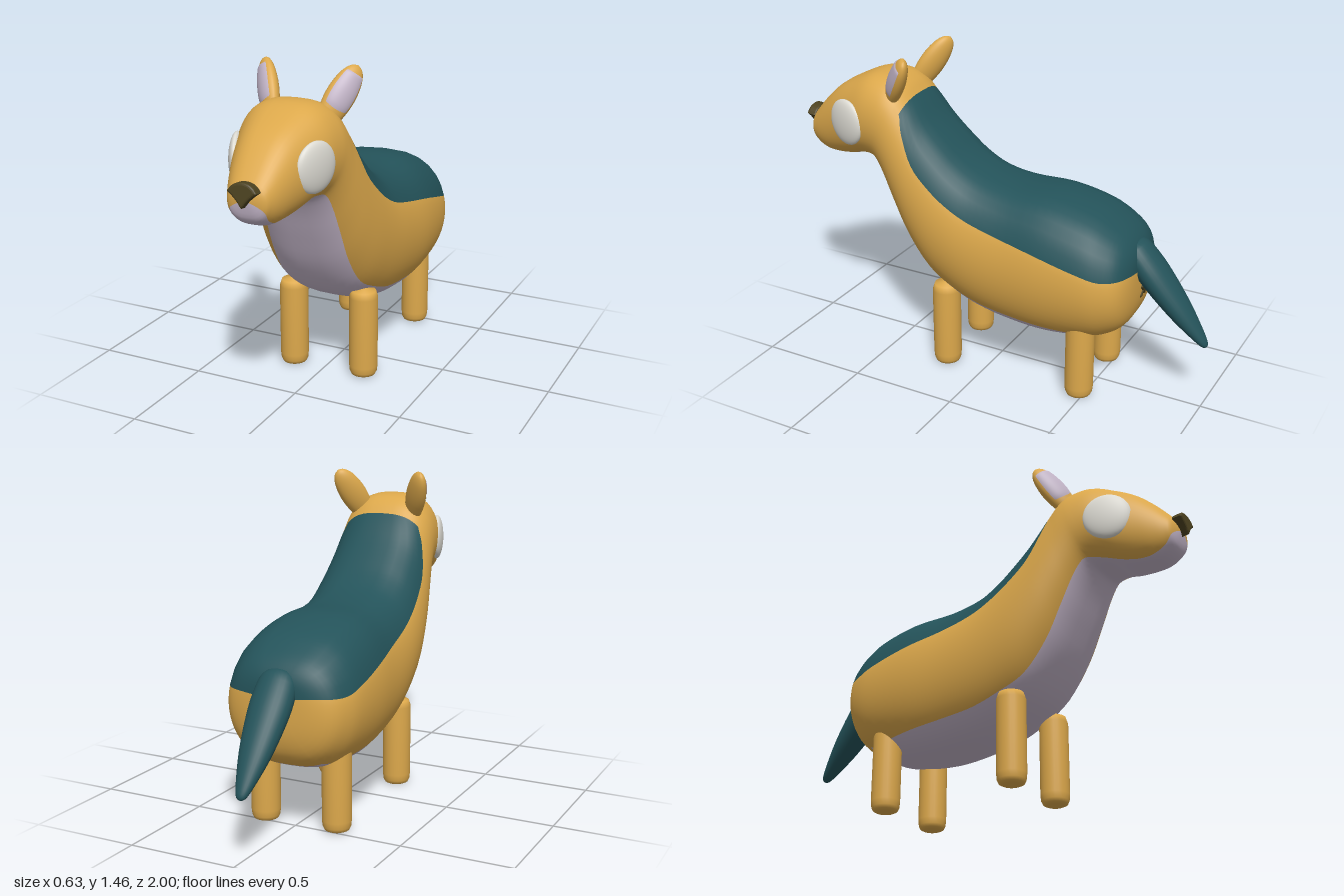
import * as THREE from 'three';
import { mergeVertices } from 'three/addons/utils/BufferGeometryUtils.js';

const flat = (name, color) => {
  const m = new THREE.MeshStandardMaterial({ color });
  m.name = name;
  return m;
};

// Smooth value through a list of control numbers
function spline(list, t) {
  const i = Math.min(Math.floor(t), list.length - 2), u = t - i;
  const g = k => list[Math.max(0, Math.min(list.length - 1, k))];
  const a = g(i - 1), b = g(i), c = g(i + 1), d = g(i + 2);
  return b + 0.5 * u * (c - a + u * (2 * a - 5 * b + 4 * c - d + u * (3 * (b - c) + d - a)));
}

// Body sections from rump to muzzle: top z, top y, bottom z, bottom y, half width
const SECTIONS = [
  [-0.695, 0.62, -0.695, 0.62, 0],
  [-0.687, 0.70, -0.69, 0.47, 0.14],
  [-0.65, 0.765, -0.655, 0.365, 0.235],
  [-0.58, 0.82, -0.58, 0.305, 0.282],
  [-0.48, 0.87, -0.48, 0.275, 0.305],
  [-0.3, 0.91, -0.3, 0.255, 0.312],
  [-0.1, 0.915, -0.13, 0.265, 0.302],
  [0.05, 0.945, 0.02, 0.293, 0.295],
  [0.15, 1.0, 0.15, 0.343, 0.288],
  [0.23, 1.07, 0.28, 0.425, 0.278],
  [0.31, 1.15, 0.39, 0.565, 0.262],
  [0.37, 1.225, 0.47, 0.72, 0.246],
  [0.40, 1.26, 0.53, 0.85, 0.235],
  [0.44, 1.305, 0.575, 0.925, 0.228],
  [0.50, 1.338, 0.61, 0.943, 0.222],
  [0.60, 1.343, 0.66, 0.942, 0.208],
  [0.70, 1.305, 0.73, 0.923, 0.18],
  [0.79, 1.255, 0.81, 0.912, 0.15],
  [0.86, 1.195, 0.875, 0.914, 0.125],
  [0.92, 1.13, 0.925, 0.935, 0.1],
  [0.955, 1.085, 0.955, 0.968, 0.074],
  [0.97, 1.04, 0.97, 1.04, 0],
];
// Colour borders as a fraction of the height, measured from the top of each section
const BACK = [0.3, 0.3, 0.33, 0.36, 0.35, 0.31, 0.26, 0.245, 0.25, 0.26, 0.27, 0.21, 0.14,
  0.14, 0.15, 0.16, 0.2, 0.2, 0.2, 0.2, 0.2, 0.2];
const BELLY = [0.95, 0.95, 0.95, 0.95, 0.92, 0.88, 0.87, 0.88, 0.89, 0.91, 0.91, 0.9, 0.9,
  0.91, 0.94, 0.96, 0.965, 0.965, 0.94, 0.875, 0.7, 0.6];

function bodyGeometry() {
  const SUB = 4, N = 12, last = SECTIONS.length - 1, rows = last * SUB, cols = 4 * N;
  const pos = [], lists = [[], [], []];
  for (let r = 0; r <= rows; r++) {
    const t = r / SUB;
    const [zT, yT, zB, yB, w] = [0, 1, 2, 3, 4].map(k => spline(SECTIONS.map(s => s[k]), t));
    const back = Math.acos(1 - 2 * spline(BACK, t)), belly = Math.acos(1 - 2 * spline(BELLY, t));
    const marks = [-back, back, belly, 2 * Math.PI - belly, 2 * Math.PI - back];
    for (let c = 0; c < cols; c++) {
      const k = Math.floor(c / N);
      const a = THREE.MathUtils.lerp(marks[k], marks[k + 1], (c % N) / N);
      const f = (1 - Math.cos(a)) / 2, s = Math.sin(a);
      pos.push(w * Math.sign(s) * Math.abs(s) ** 0.7, yT + (yB - yT) * f, zT + (zB - zT) * f);
    }
  }
  for (let r = 0; r < rows; r++) for (let c = 0; c < cols; c++) {
    const strip = Math.floor(c / N), d = (c + 1) % cols;
    const A = r * cols + c, B = A + cols, D = r * cols + d, C = D + cols;
    let m = 0;                                       // coat
    if (strip === 0 && r < 12 * SUB) m = 1;          // saddle, rump to nape
    if (strip === 2 && r >= 3 * SUB) m = 2;          // underside, belly to chin
    lists[m].push(A, B, D, B, C, D);
  }
  let geo = new THREE.BufferGeometry();
  geo.setAttribute('position', new THREE.Float32BufferAttribute(pos, 3));
  geo.setIndex(lists.flat());
  geo = mergeVertices(geo);
  geo.computeVertexNormals();
  let start = 0;
  lists.forEach((l, m) => { geo.addGroup(start, l.length, m); start += l.length; });
  return geo;
}

// Smooth turned shape from [radius, height] points
function turned(points, phi = 0, arc = Math.PI * 2) {
  const curve = new THREE.SplineCurve(points.map(p => new THREE.Vector2(...p)));
  const pts = curve.getPoints(24).map(p => new THREE.Vector2(Math.max(0, p.x), p.y));
  return new THREE.LatheGeometry(pts, 28, phi, arc);
}

// Stand an object at base, pointing at tip, with its +z side towards face
function aim(object, base, tip, face) {
  const b = new THREE.Vector3(...base);
  const y = new THREE.Vector3(...tip).sub(b).normalize();
  const x = new THREE.Vector3().crossVectors(y, new THREE.Vector3(...face)).normalize();
  const z = new THREE.Vector3().crossVectors(x, y);
  object.quaternion.setFromRotationMatrix(new THREE.Matrix4().makeBasis(x, y, z));
  object.position.copy(b);
}

export function createModel() {
  const tan = flat('tan coat', 0xdca84b), teal = flat('teal saddle', 0x24535a);
  const lilac = flat('lilac underside', 0xc4b6c9), white = flat('eye white', 0xdddbd3);
  const dark = flat('dark nose', 0x4c4220);
  const model = new THREE.Group(), animal = new THREE.Group();
  model.name = 'model';
  animal.name = 'animal';
  model.add(animal);
  const add = (name, geo, mat, parent = animal) => {
    const mesh = new THREE.Mesh(geo, mat);
    mesh.name = name;
    parent.add(mesh);
    return mesh;
  };

  add('body', bodyGeometry(), [tan, teal, lilac]);

  // Legs with rounded feet
  const legGeo = new THREE.LatheGeometry([[0, 0], [0.04, 0], [0.055, 0.007], [0.062, 0.022],
    [0.065, 0.05], [0.065, 0.38], [0.055, 0.41], [0, 0.425]]
    .map(p => new THREE.Vector2(...p)), 24);
  for (const side of [1, -1]) {
    const s = side > 0 ? 'left' : 'right';
    add(s + 'FrontLeg', legGeo, tan).position.set(side * 0.172, 0, 0.2);
    add(s + 'RearLeg', legGeo, tan).position.set(side * 0.172, 0, -0.47);

    // Ear with coloured inner face
    const ear = new THREE.Group();
    ear.name = s + 'Ear';
    animal.add(ear);
    const outer = turned([[0, -0.01], [0.042, 0.02], [0.06, 0.09], [0.062, 0.16],
      [0.05, 0.225], [0.028, 0.265], [0, 0.28]]);
    const inner = turned([[0.042, 0.05], [0.061, 0.095], [0.063, 0.16], [0.052, 0.225],
      [0.042, 0.242]], -0.95, 1.9);
    add('earShell', outer, tan, ear).scale.z = 0.62;
    add('innerEar', inner, lilac, ear).scale.z = 0.65;
    aim(ear, [side * 0.115, 1.235, 0.5], [side * 0.212, 1.46, 0.365], [side * 0.65, 0.2, 0.73]);

    // Eye set into the cheek
    const eye = add(s + 'Eye', new THREE.SphereGeometry(1, 32, 20), white);
    eye.scale.set(0.107, 0.107, 0.032);
    eye.position.set(side * 0.173, 1.118, 0.7);
    eye.rotation.y = side * 1.23;
  }

  // Flattened tail
  const tail = add('tail', turned([[0, 0], [0.075, 0.03], [0.092, 0.13], [0.088, 0.24],
    [0.07, 0.38], [0.043, 0.5], [0.022, 0.565], [0, 0.58]]), teal);
  tail.scale.z = 0.72;
  aim(tail, [0, 0.73, -0.625], [0, 0.29, -0.995], [0, 0.66, -0.75]);

  // Triangular nose
  const tri = new THREE.Shape();
  tri.moveTo(0, -0.04);
  tri.quadraticCurveTo(0.012, -0.018, 0.05, 0.012);
  tri.quadraticCurveTo(0.035, 0.037, 0, 0.038);
  tri.quadraticCurveTo(-0.035, 0.037, -0.05, 0.012);
  tri.quadraticCurveTo(-0.012, -0.018, 0, -0.04);
  const nose = add('nose', new THREE.ExtrudeGeometry(tri, { depth: 0.03, bevelThickness: 0.01,
    bevelSize: 0.01, bevelSegments: 3, curveSegments: 10 }), dark);
  nose.position.set(0, 1.065, 0.957);
  nose.rotation.x = -0.12;

  // Small crossed mark under the tail
  for (const turn of [1, -1]) {
    const bar = add('rearMark', new THREE.CapsuleGeometry(0.01, 0.065, 4, 10), dark);
    bar.position.set(0, 0.505, -0.69);
    bar.rotation.set(-0.1, 0, turn * Math.PI / 4);
  }

  // The whole animal stands slightly turned
  animal.rotation.y = 0.042;
  animal.position.x = 0.008;
  return model;
}
